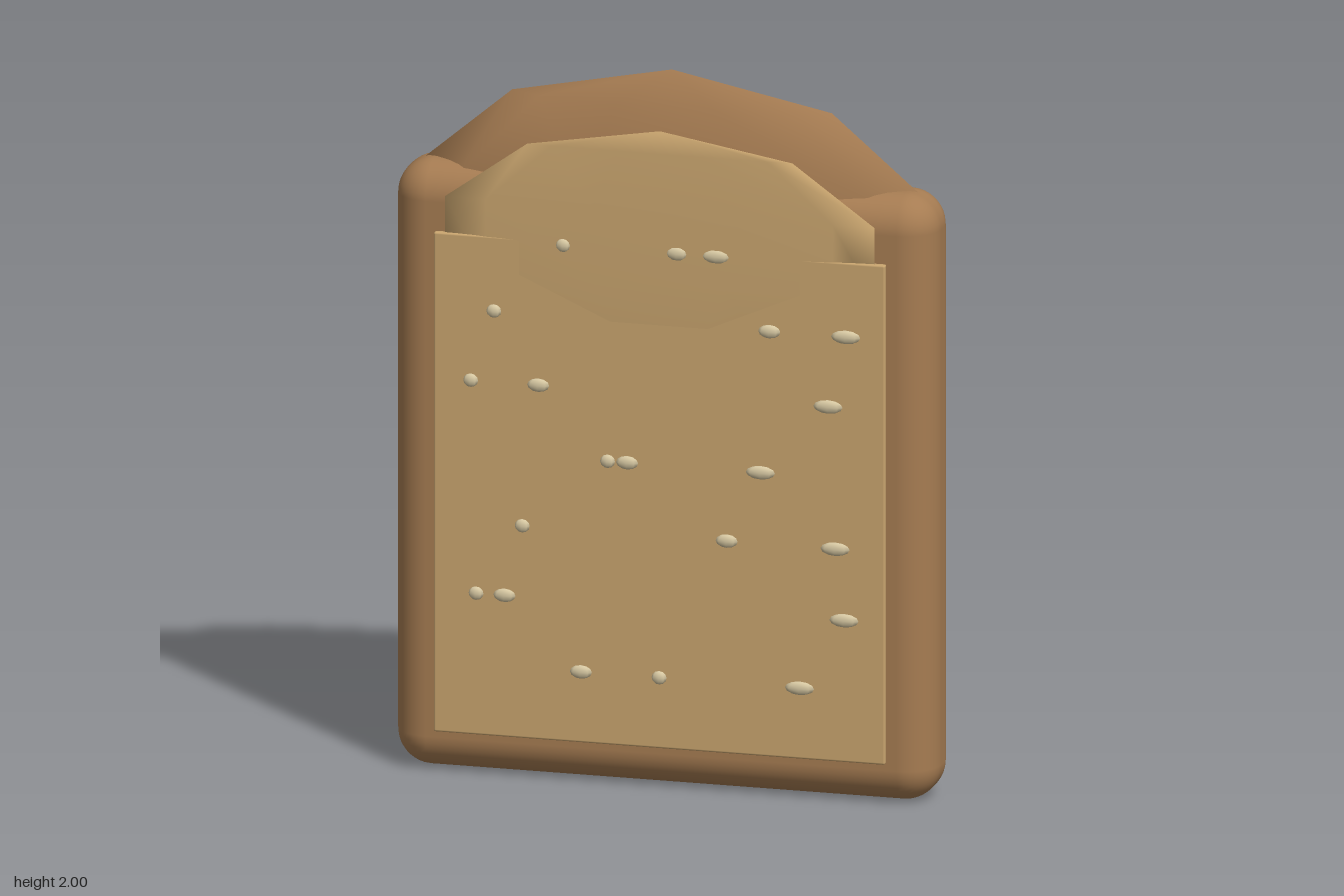
import * as THREE from 'three';
import { RoundedBoxGeometry } from 'three/addons/geometries/RoundedBoxGeometry.js';

const crustMat = new THREE.MeshStandardMaterial({ color: 0xa67c52 });
const crumbMat = new THREE.MeshStandardMaterial({ color: 0xc8a46e });
const seedMat = new THREE.MeshStandardMaterial({ color: 0xd8c9a3 });

function addMesh(parent, name, geometry, material, x, y, z) {
  const mesh = new THREE.Mesh(geometry, material);
  mesh.name = name;
  mesh.position.set(x, y, z);
  parent.add(mesh);
  return mesh;
}

// Coarse ellipsoid with the given half sizes
function ellipsoid(rx, ry, rz, w = 10, h = 5) {
  return new THREE.SphereGeometry(1, w, h).scale(rx, ry, rz);
}

// One row of seeds per entry: x of the small, medium and large seed
const seedRows = [
  [0, -0.22, 0.395],
  [-0.515, -0.435, 0.52],
  [-0.385, 0.19, 0.495],
  [-0.145, -0.09, 0.285],
  [-0.53, -0.34, 0.475],
  [-0.465, 0.31, 0.525],
  [-0.27, 0.05, 0.16],
];
const seedWidths = [0.021, 0.031, 0.041];

export function createModel() {
  const model = new THREE.Group();
  model.name = 'breadSlice';

  // Crust: rounded slab with a domed top
  addMesh(model, 'crustBody', new RoundedBoxGeometry(1.525, 1.71, 0.232, 5, 0.1), crustMat, 0, 0.855, 0);
  addMesh(model, 'crustDome', ellipsoid(0.765, 0.47, 0.12), crustMat, 0, 1.53, 0);

  // Crumb faces and seeds, the same on front and back
  const seedGeometries = seedWidths.map((w) => ellipsoid(w, 0.019, 0.011, 8, 6));
  for (const [side, label] of [[1, 'front'], [-1, 'back']]) {
    const face = new THREE.Group();
    face.name = label + 'Face';
    model.add(face);

    addMesh(face, label + 'Crumb', new RoundedBoxGeometry(1.27, 1.41, 0.02, 2, 0.006), crumbMat, 0, 0.825, side * 0.123);
    addMesh(face, label + 'CrumbDome', ellipsoid(0.635, 0.33, 0.012), crumbMat, 0, 1.53, side * 0.125);

    seedRows.forEach((row, r) => row.forEach((x, i) => {
      addMesh(face, label + 'Seed', seedGeometries[i], seedMat, x, 0.32 + 0.2 * r, side * 0.133);
    }));
  }
  return model;
}
